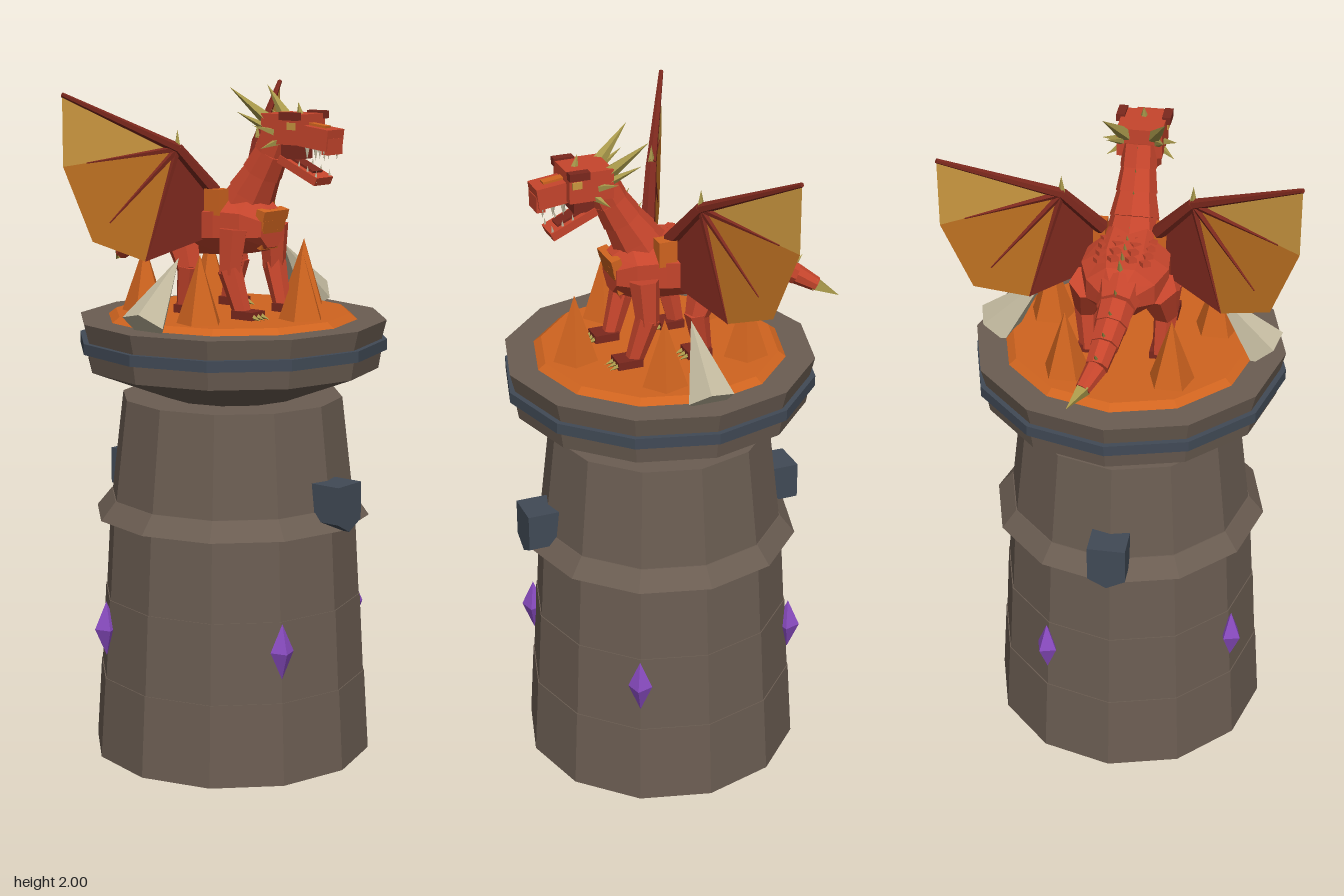
import * as THREE from 'three';

const mat = (name, color, side = THREE.FrontSide) =>
  Object.assign(new THREE.MeshStandardMaterial({ color, flatShading: true, side }), { name });
const V = (x, y, z) => new THREE.Vector3(x, y, z);
const UP = V(0, 1, 0);
const CZ = 0.04; // z of the tower axis

export function createModel() {
  const stone = mat('stone', 0x6b5d52), slate = mat('slate', 0x414a56);
  const lava = mat('lava orange', 0xd0641f), bone = mat('bone', 0xc4bba0);
  const purple = mat('purple crystal', 0x8a4cc2), red = mat('scale red', 0xc6452c);
  const darkRed = mat('dark red', 0x7c281d, THREE.DoubleSide);
  const gold = mat('wing gold', 0xcc9840, THREE.DoubleSide);
  const amber = mat('wing amber', 0xc07222, THREE.DoubleSide);
  const horn = mat('horn', 0xa8984a);

  const model = new THREE.Group();
  const tower = new THREE.Group(); tower.name = 'tower';
  const dragon = new THREE.Group(); dragon.name = 'dragon';
  model.add(tower, dragon);

  const add = (parent, name, geo, material, x = 0, y = 0, z = 0) => {
    const m = new THREE.Mesh(geo, material);
    m.name = name; m.position.set(x, y, z); parent.add(m);
    return m;
  };
  // Tapered segment from a to b
  const limb = (parent, name, a, b, r1, r2, material, sides = 6) => {
    const d = b.clone().sub(a), c = a.clone().add(b).multiplyScalar(0.5);
    const m = add(parent, name, new THREE.CylinderGeometry(r2, r1, d.length(), sides), material, c.x, c.y, c.z);
    m.quaternion.setFromUnitVectors(UP, d.normalize());
    return m;
  };
  const box = (name, w, h, d, x, y, z, material, rx = 0) => {
    const m = add(dragon, name, new THREE.BoxGeometry(w, h, d), material, x, y, z);
    m.rotation.x = rx;
    return m;
  };
  // Closed loft along z through elliptical rings [z, y, rx, ry]
  const loft = (rings, n) => {
    const pos = [], idx = [];
    rings.forEach(([z, y, rx, ry]) => {
      for (let i = 0; i < n; i++) {
        const a = ((i + 0.5) / n) * Math.PI * 2;
        pos.push(rx * Math.cos(a), y + ry * Math.sin(a), z);
      }
    });
    for (let r = 0; r < rings.length - 1; r++) for (let i = 0; i < n; i++) {
      const a = r * n + i, b = r * n + (i + 1) % n;
      idx.push(a, b, b + n, a, b + n, a + n);
    }
    const last = (rings.length - 1) * n;
    for (let i = 1; i < n - 1; i++) idx.push(0, i + 1, i, last, last + i, last + i + 1);
    const g = new THREE.BufferGeometry();
    g.setAttribute('position', new THREE.Float32BufferAttribute(pos, 3));
    g.setIndex(idx); g.computeVertexNormals();
    return g;
  };

  // Twelve-sided tower courses: bottom y, top y, bottom radius, top radius
  [['baseCourse', 0, 0.245, 0.42, 0.405, stone], ['middleCourse', 0.245, 0.485, 0.402, 0.389, stone],
    ['upperCourse', 0.485, 0.73, 0.386, 0.372, stone], ['ledge', 0.73, 0.785, 0.413, 0.368, stone],
    ['towerTop', 0.785, 1.085, 0.365, 0.33, stone], ['flare', 1.085, 1.175, 0.2, 0.435, stone],
    ['bowl', 1.175, 1.235, 0.435, 0.445, stone], ['ironBand', 1.23, 1.262, 0.46, 0.46, slate],
    ['rim', 1.255, 1.318, 0.442, 0.458, stone], ['lavaPool', 1.316, 1.335, 0.375, 0.35, lava],
  ].forEach(([name, y0, y1, r0, r1, m]) =>
    add(tower, name, new THREE.CylinderGeometry(r1, r0, y1 - y0, 12), m, 0, (y0 + y1) / 2, CZ));

  // Shield-shaped slate blocks, front and back
  const shield = new THREE.Shape([[-0.056, 0.87], [-0.056, 0.76], [0, 0.73], [0.056, 0.76], [0.056, 0.87]]
    .map(p => new THREE.Vector2(...p)));
  const shieldGeo = new THREE.ExtrudeGeometry(shield, { depth: 0.1, bevelEnabled: false });
  for (const s of [1, -1]) {
    const m = add(tower, 'shieldBlock', shieldGeo, slate, 0, 0, CZ + s * 0.335);
    m.rotation.y = s > 0 ? 0 : Math.PI;
  }

  // Crystals set in the wall
  for (let i = 0; i < 4; i++) {
    const a = Math.PI / 3 + i * Math.PI / 2;
    const m = add(tower, 'crystal', new THREE.OctahedronGeometry(1), purple,
      0.4 * Math.sin(a), 0.4, CZ + 0.4 * Math.cos(a));
    m.scale.set(0.036, 0.083, 0.036); m.rotation.y = a;
  }

  // Ring of flame-coloured rocks and two leaning fangs
  for (let i = 0; i < 5; i++) {
    const a = i * Math.PI * 0.4;
    const m = add(tower, 'rockSpike', new THREE.ConeGeometry(0.07, 0.205, 5), lava,
      0.258 * Math.sin(a), 1.43, CZ + 0.258 * Math.cos(a));
    m.rotation.y = a;
  }
  for (const s of [1, -1])
    limb(tower, 'stoneFang', V(s * 0.395, 1.335, CZ), V(s * 0.243, 1.515, CZ), 0.068, 0, bone, 5);

  // Torso, belly plates and back scales
  add(dragon, 'torso', loft([[-0.18, 1.59, 0.052, 0.048], [-0.13, 1.59, 0.105, 0.08], [-0.05, 1.59, 0.135, 0.095],
    [0.06, 1.6, 0.125, 0.1], [0.14, 1.6, 0.1, 0.09], [0.19, 1.59, 0.06, 0.06]], 8), red);
  for (let i = 0; i < 4; i++)
    box('bellyPlate', 0.115 - i * 0.012, 0.03, 0.03, 0, 1.63 - i * 0.028, 0.188 - i * 0.007, lava, 0.25);
  for (let r = 0; r < 4; r++) for (const x of [-0.065, -0.025, 0.025, 0.065]) {
    const m = box('backScale', 0.025, 0.012, 0.025, x, 1.683 - Math.abs(x) * 0.22, -0.1 + r * 0.04, red, 0.2);
    m.rotation.y = 0.6;
  }
  for (let i = 0; i < 5; i++) {
    const z = -0.13 + i * 0.045;
    limb(dragon, 'spineSpike', V(0, 1.66, z), V(0, 1.705, z - 0.02), 0.009, 0, horn, 4);
  }

  // Neck and tail as overlapping tapered segments
  const chain = (name, pts, flare) => {
    for (let i = 0; i < pts.length - 1; i++) {
      const [x, y, z, r] = pts[i], [x2, y2, z2, r2] = pts[i + 1];
      limb(dragon, name, V(x, y, z), V(x2, y2, z2), r, r2 * flare, red, 8);
      if (i) limb(dragon, name + 'Spike', V(x, y + r * 0.8, z), V(x, y + r + 0.025, z - 0.025), 0.008, 0, horn, 4);
    }
  };
  chain('neck', [[0, 1.63, 0.08, 0.085], [0, 1.69, 0.115, 0.072], [0, 1.75, 0.152, 0.06],
    [0, 1.81, 0.187, 0.053], [0, 1.87, 0.215, 0.052]], 0.95);
  chain('tail', [[0, 1.595, -0.13, 0.07], [0, 1.58, -0.2, 0.051], [0.005, 1.555, -0.26, 0.045],
    [0.013, 1.53, -0.32, 0.038], [0.024, 1.5, -0.38, 0.031], [0.052, 1.465, -0.44, 0.02]], 1.08);
  limb(dragon, 'tailTip', V(0.048, 1.467, -0.435), V(0.088, 1.435, -0.497), 0.024, 0, horn, 4);

  // Head with open mouth
  box('skull', 0.13, 0.085, 0.13, 0, 1.88, 0.262, red);
  box('snout', 0.078, 0.06, 0.1, 0, 1.858, 0.36, red, 0.12);
  box('nose', 0.066, 0.045, 0.025, 0, 1.835, 0.4, red);
  box('noseStripe', 0.026, 0.008, 0.07, 0, 1.892, 0.35, lava, 0.12);
  box('mouth', 0.07, 0.05, 0.06, 0, 1.82, 0.275, darkRed);
  box('lowerJaw', 0.078, 0.024, 0.145, 0, 1.765, 0.305, red, 0.42);
  box('tongue', 0.045, 0.008, 0.11, 0, 1.783, 0.3, darkRed, 0.42);
  limb(dragon, 'noseHorn', V(0, 1.91, 0.29), V(0, 1.955, 0.28), 0.014, 0, horn, 5);

  for (const s of [1, -1]) {
    // Brows, eyes, horns, cheek spikes and teeth
    box('brow', 0.025, 0.022, 0.06, s * 0.066, 1.918, 0.3, darkRed);
    box('eye', 0.006, 0.02, 0.028, s * 0.067, 1.89, 0.305, gold);
    limb(dragon, 'mainHorn', V(s * 0.042, 1.9, 0.21), V(s * 0.088, 1.995, 0.1), 0.022, 0, horn, 5);
    limb(dragon, 'smallHorn', V(s * 0.05, 1.88, 0.21), V(s * 0.08, 1.925, 0.12), 0.014, 0, horn, 5);
    limb(dragon, 'cheekSpike', V(s * 0.055, 1.87, 0.24), V(s * 0.108, 1.89, 0.2), 0.013, 0, horn, 4);
    limb(dragon, 'cheekSpike', V(s * 0.055, 1.845, 0.25), V(s * 0.098, 1.825, 0.22), 0.012, 0, horn, 4);
    for (const z of [0.335, 0.365, 0.395]) {
      limb(dragon, 'upperTooth', V(s * 0.03, 1.83, z), V(s * 0.03, 1.795, z), 0.008, 0, bone, 4);
      limb(dragon, 'lowerTooth', V(s * 0.032, 1.775 - (z - 0.305) * 0.45, z - 0.03),
        V(s * 0.032, 1.81 - (z - 0.305) * 0.45, z - 0.025), 0.007, 0, bone, 4);
    }

    // Legs: hip, knee, ankle, foot, thickness
    [['front', V(s * 0.095, 1.59, 0.12), V(s * 0.105, 1.46, 0.115), V(s * 0.095, 1.345, 0.155), 0.045],
      ['hind', V(s * 0.095, 1.58, -0.08), V(s * 0.115, 1.46, -0.03), V(s * 0.105, 1.345, -0.055), 0.06],
    ].forEach(([n, hip, knee, foot, r]) => {
      limb(dragon, n + 'Thigh', hip, knee, r, 0.034, red);
      limb(dragon, n + 'Shin', knee.clone().add(V(0, 0.015, 0)), foot, 0.036, 0.026, red);
      box(n + 'Foot', 0.062, 0.026, 0.075, foot.x, 1.346, foot.z + 0.02, darkRed);
      for (const d of [-0.02, 0, 0.02])
        limb(dragon, n + 'Claw', V(foot.x + d, 1.346, foot.z + 0.052), V(foot.x + d, 1.336, foot.z + 0.082), 0.009, 0, horn, 4);
    });

    // Shoulder plate
    box('shoulderPlate', 0.045, 0.075, 0.055, s * 0.092, 1.665, 0.055, lava);

    // Wing: flat panels slanting backwards, ribs fanning from the wrist
    const wz = x => 0.04 - 0.5 * (x - 0.08);
    const P = (x, y) => V(s * x, y, wz(x));
    const panel = (name, pts, m) => {
      const g = new THREE.ShapeGeometry(new THREE.Shape(pts.map(([x, y]) => new THREE.Vector2(s * x, y))));
      const p = g.attributes.position;
      for (let i = 0; i < p.count; i++) p.setZ(i, wz(Math.abs(p.getX(i))));
      g.computeVertexNormals();
      add(dragon, name, g, m);
    };
    const root = [0.08, 1.69], wrist = [0.185, 1.82], tip = [0.497, 1.98];
    const f1 = [0.497, 1.78], f2 = [0.42, 1.565], f3 = [0.275, 1.5];
    panel('wingOuter', [wrist, tip, f1], gold);
    panel('wingMiddle', [wrist, f1, f2, f3], amber);
    panel('wingInner', [root, wrist, f3, [0.1, 1.56]], darkRed);
    limb(dragon, 'wingArm', P(...root), P(...wrist), 0.022, 0.017, darkRed);
    limb(dragon, 'wingLeadingEdge', P(...wrist), P(...tip), 0.016, 0.007, darkRed);
    for (const f of [f1, f2, f3]) {
      const e = P(...wrist).lerp(P(...f), f === f3 ? 1 : 0.8);
      limb(dragon, 'wingRib', P(...wrist), e, 0.011, 0.002, darkRed, 5);
    }
    limb(dragon, 'wristClaw', P(...wrist), P(0.185, 1.875), 0.012, 0, horn, 4);
  }
  return model;
}
